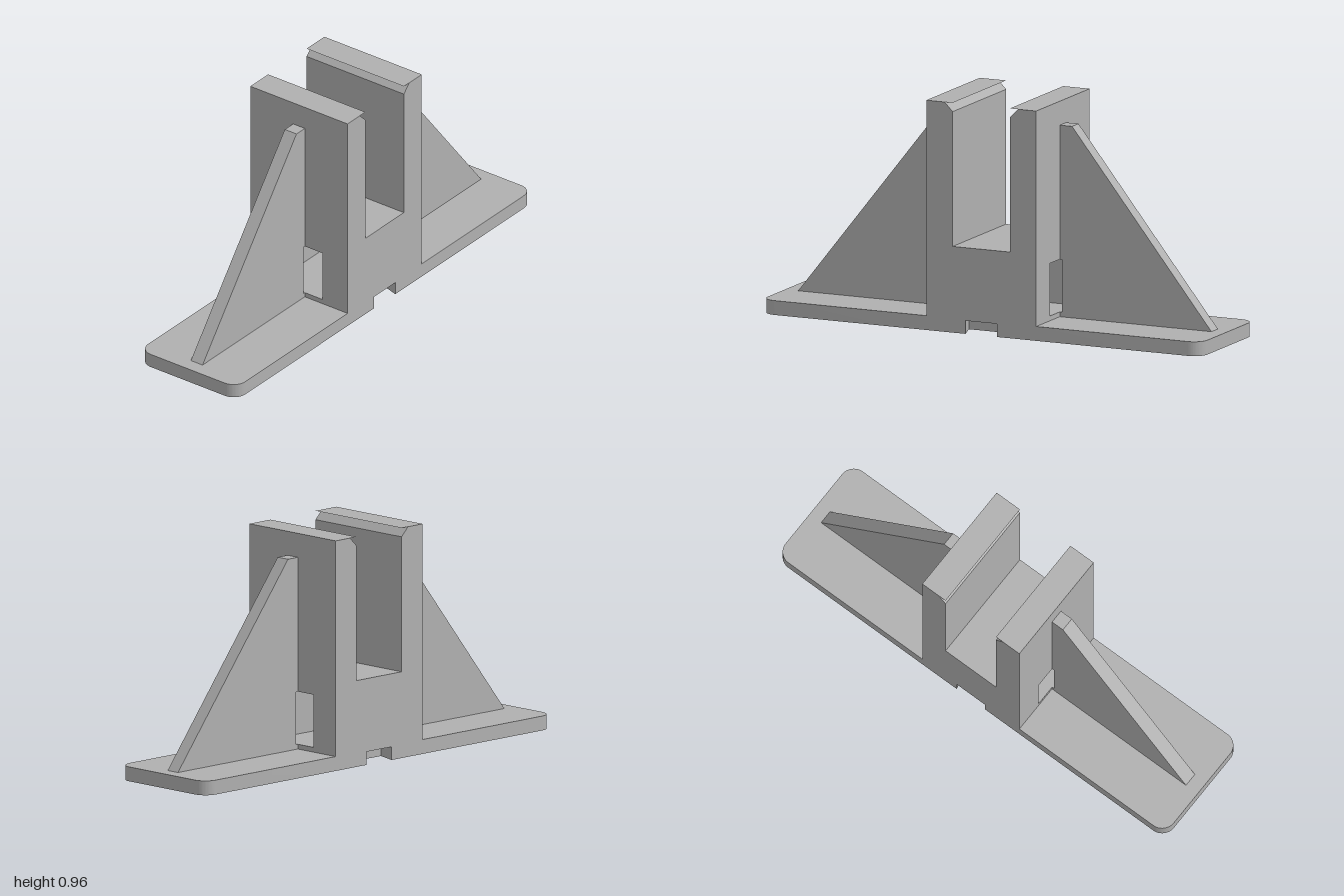
import * as THREE from 'three';
import { toCreasedNormals } from 'three/addons/utils/BufferGeometryUtils.js';

const grey = new THREE.MeshStandardMaterial({ color: 0xb0b0b0 });
grey.name = 'grey plastic';
const greySheet = new THREE.MeshStandardMaterial({ color: 0xb0b0b0, side: THREE.DoubleSide });
greySheet.name = 'grey plastic sheet';

// Extrudes a shape, centred on its depth axis
function extrude(shape, depth) {
  const geo = new THREE.ExtrudeGeometry(shape, { depth, bevelEnabled: false, curveSegments: 10 });
  return geo.translate(0, 0, -depth / 2);
}

const polygon = (points) => new THREE.Shape(points.map(([x, y]) => new THREE.Vector2(x, y)));

// Plate outline with rounded corners and optional dovetail slots on the long sides
function plateShape(slots) {
  const w = 1, d = 0.25, r = 0.06, mouth = 0.072, inner = 0.1, depth = 0.09;
  const s = new THREE.Shape();
  s.moveTo(-w + r, -d);
  if (slots) {
    s.lineTo(-mouth, -d);
    s.lineTo(-inner, -d + depth);
    s.lineTo(inner, -d + depth);
    s.lineTo(mouth, -d);
  }
  s.lineTo(w - r, -d);
  s.absarc(w - r, -d + r, r, -Math.PI / 2, 0);
  s.lineTo(w, d - r);
  s.absarc(w - r, d - r, r, 0, Math.PI / 2);
  if (slots) {
    s.lineTo(mouth, d);
    s.lineTo(inner, d - depth);
    s.lineTo(-inner, d - depth);
    s.lineTo(-mouth, d);
  }
  s.lineTo(-w + r, d);
  s.absarc(-w + r, d - r, r, Math.PI / 2, Math.PI);
  s.lineTo(-w, -d + r);
  s.absarc(-w + r, -d + r, r, Math.PI, Math.PI * 1.5);
  return s;
}

export function createModel() {
  const model = new THREE.Group();
  model.name = 'slottedStand';
  const add = (name, geo, material = grey) => {
    const mesh = new THREE.Mesh(geo, material);
    mesh.name = name;
    model.add(mesh);
    return mesh;
  };

  // Base plate: slotted lower layer and a thin closed top layer
  const plate = (slots, y0, y1) =>
    toCreasedNormals(extrude(plateShape(slots), y1 - y0).rotateX(-Math.PI / 2), 0.5)
      .translate(0, (y0 + y1) / 2, 0);
  add('basePlate', plate(true, 0, 0.055));
  add('basePlateTop', plate(false, 0.055, 0.06));

  // Centre block with a rectangular tunnel running from side to side
  const block = polygon([[-0.25, 0.06], [0.25, 0.06], [0.25, 0.36], [-0.25, 0.36]]);
  block.holes.push(polygon([[-0.12, 0.08], [-0.12, 0.3], [0.12, 0.3], [0.12, 0.08]]));
  add('centreBlock', extrude(block, 0.5).rotateY(Math.PI / 2));

  for (const side of [1, -1]) {
    const label = side > 0 ? 'left' : 'right';
    const mirrored = (points) => polygon(points.map(([x, y]) => [x * side, y]));

    // Upright arm with a chamfered inner top edge
    add(`${label}Arm`, extrude(mirrored([
      [0.13, 0.36], [0.25, 0.36], [0.25, 0.96], [0.167, 0.96], [0.13, 0.923],
    ]), 0.5));

    // Thin lip above the chamfer
    const lip = new THREE.PlaneGeometry(0.037, 0.5).rotateX(-Math.PI / 2);
    add(`${label}ArmLip`, lip.translate(side * 0.1485, 0.96, 0), greySheet);

    // Triangular rib, relieved where it crosses the tunnel mouth
    add(`${label}Rib`, extrude(mirrored([
      [0.25, 0.06], [0.94, 0.06], [0.306, 0.86], [0.25, 0.86],
      [0.25, 0.3], [0.26, 0.3], [0.26, 0.08], [0.25, 0.08],
    ]), 0.06));
  }
  return model;
}
